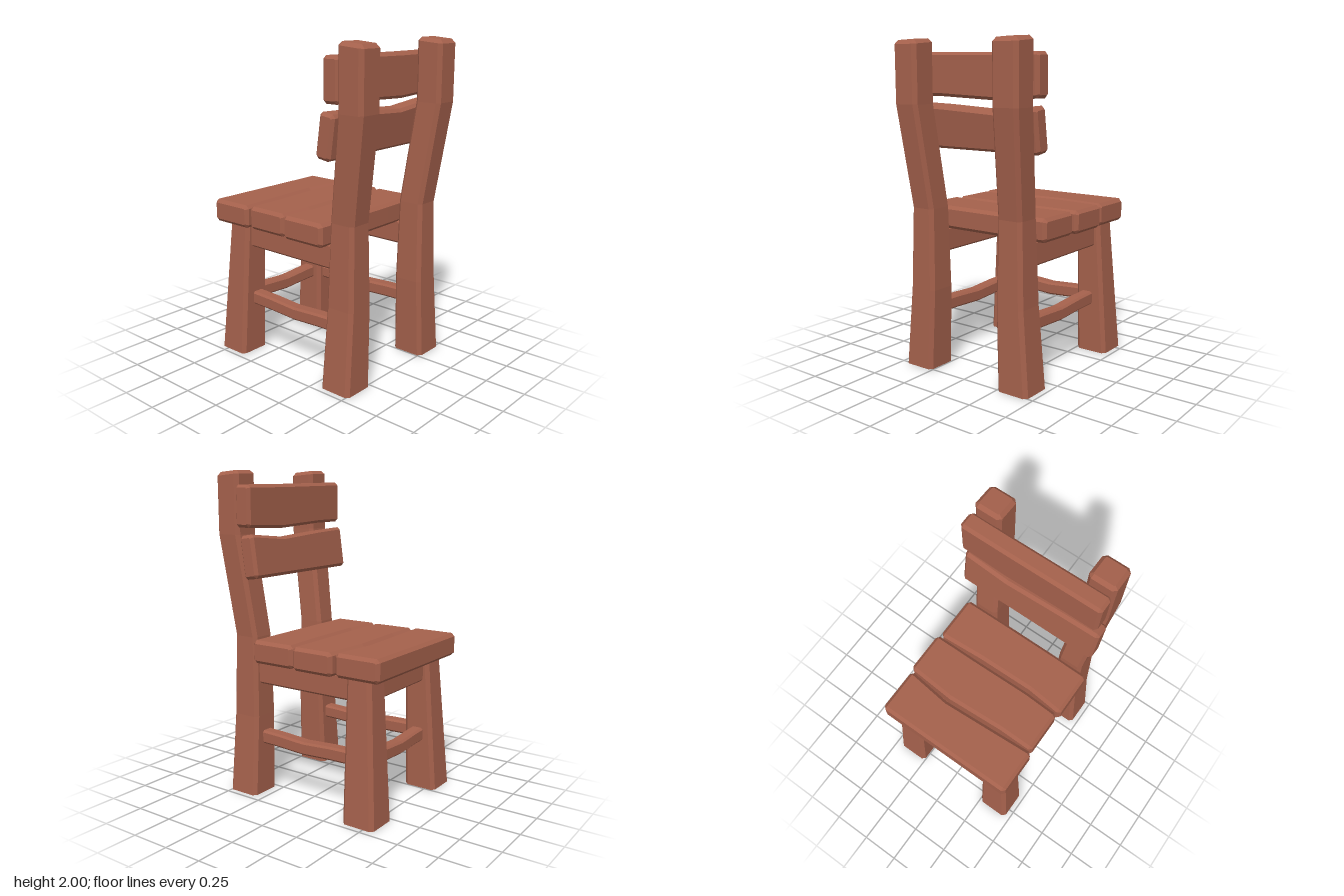
import * as THREE from 'three';

const wood = new THREE.MeshStandardMaterial({ color: 0xa5614c, flatShading: true });
wood.name = 'reddish brown wood';

// Axis order (along, a, b) as indices of x, y, z; cyclic so the winding is kept
const ORDER = { x: [0, 1, 2], y: [1, 2, 0], z: [2, 0, 1] };

// Chamfered timber lofted through sections [t, a0, a1, b0, b1] along an axis.
// c is the chamfer; startCut and endCut also chamfer the two ends.
function timber(name, axis, sections, c = 0.02, startCut = true, endCut = true) {
  const inset = ([t, a0, a1, b0, b1]) => [t, a0 + c, a1 - c, b0 + c, b1 - c];
  const secs = sections.map((s) => [...s]);
  if (startCut) {
    const cap = inset(secs[0]);
    secs[0][0] += c;
    secs.unshift(cap);
  }
  if (endCut) {
    const last = secs.length - 1;
    const cap = inset(secs[last]);
    secs[last][0] -= c;
    secs.push(cap);
  }
  const order = ORDER[axis];
  const rings = secs.map(([t, a0, a1, b0, b1], i) => {
    const isCap = (startCut && i === 0) || (endCut && i === secs.length - 1);
    const k = isCap ? c * 0.3 : c;
    return [
      [a0 + k, b0], [a1 - k, b0], [a1, b0 + k], [a1, b1 - k],
      [a1 - k, b1], [a0 + k, b1], [a0, b1 - k], [a0, b0 + k],
    ].map(([a, b]) => {
      const p = [0, 0, 0];
      p[order[0]] = t;
      p[order[1]] = a;
      p[order[2]] = b;
      return p;
    });
  });
  const pos = [];
  const tri = (p, q, r) => pos.push(...p, ...q, ...r);
  for (let i = 0; i + 1 < rings.length; i++) {
    for (let j = 0; j < 8; j++) {
      const k = (j + 1) % 8;
      tri(rings[i][j], rings[i][k], rings[i + 1][k]);
      tri(rings[i][j], rings[i + 1][k], rings[i + 1][j]);
    }
  }
  const top = rings[rings.length - 1];
  for (let j = 1; j < 7; j++) {
    tri(rings[0][0], rings[0][j + 1], rings[0][j]);
    tri(top[0], top[j], top[j + 1]);
  }
  const geo = new THREE.BufferGeometry();
  geo.setAttribute('position', new THREE.Float32BufferAttribute(pos, 3));
  geo.computeVertexNormals();
  const mesh = new THREE.Mesh(geo, wood);
  mesh.name = name;
  return mesh;
}

// Move vertices by a rule, then refresh the normals
function reshape(mesh, rule) {
  const p = mesh.geometry.attributes.position;
  const v = new THREE.Vector3();
  for (let i = 0; i < p.count; i++) {
    rule(v.fromBufferAttribute(p, i));
    p.setXYZ(i, v.x, v.y, v.z);
  }
  mesh.geometry.computeVertexNormals();
  return mesh;
}

export function createModel() {
  const chair = new THREE.Group();
  chair.name = 'chair';

  for (const side of [1, -1]) {
    const label = side > 0 ? 'left' : 'right';
    const span = (lo, hi) => (side > 0 ? [lo, hi] : [-hi, -lo]);

    // Tall bent post carrying the backrest, with a slightly sloping top
    const post = timber(label + 'BackPost', 'y', [
      [0, 0.305, 0.515, ...span(0.255, 0.465)],
      [0.5, 0.313, 0.505, ...span(0.236, 0.423)],
      [1, 0.325, 0.495, ...span(0.243, 0.408)],
      [1.62, 0.41, 0.582, ...span(0.273, 0.447)],
      [2, 0.41, 0.582, ...span(0.273, 0.447)],
    ], 0.022, false, true);
    chair.add(reshape(post, (v) => {
      if (v.y > 1.9) v.y -= (v.z - 0.41) * 0.09;
    }));

    // Tapered short leg
    chair.add(timber(label + 'ShortLeg', 'y', [
      [0, -0.565, -0.353, ...span(0.255, 0.465)],
      [0.87, -0.505, -0.342, ...span(0.243, 0.41)],
    ], 0.022, false, false));

    // Side rail under the seat and sagging stretcher below it
    chair.add(timber(label + 'SeatRail', 'z', [
      [-0.42, ...span(0.275, 0.38), 0.71, 0.86],
      [0.4, ...span(0.275, 0.38), 0.71, 0.86],
    ], 0.012));
    chair.add(timber(label + 'Stretcher', 'z', [
      [-0.42, ...span(0.29, 0.37), 0.32, 0.405],
      [-0.2, ...span(0.29, 0.37), 0.317, 0.4],
      [0, ...span(0.29, 0.37), 0.307, 0.388],
      [0.2, ...span(0.29, 0.37), 0.317, 0.4],
      [0.4, ...span(0.29, 0.37), 0.32, 0.405],
    ], 0.012));
  }

  // Cross rail and cross stretcher between the short legs
  chair.add(timber('crossRail', 'x', [
    [-0.33, 0.71, 0.86, -0.475, -0.375],
    [0.33, 0.71, 0.86, -0.475, -0.375],
  ], 0.012));
  chair.add(timber('crossStretcher', 'x', [
    [-0.33, 0.32, 0.405, -0.48, -0.4],
    [-0.18, 0.317, 0.4, -0.48, -0.4],
    [0, 0.307, 0.388, -0.48, -0.4],
    [0.18, 0.317, 0.4, -0.48, -0.4],
    [0.33, 0.32, 0.405, -0.48, -0.4],
  ], 0.012));

  // Seat planks with uneven edges: [x, z from, z to]
  const planks = [
    [[-0.465, -0.585, -0.29], [-0.22, -0.585, -0.303], [0.15, -0.585, -0.323], [0.45, -0.585, -0.29]],
    [[-0.452, -0.282, 0.003], [-0.22, -0.28, 0.012], [0.15, -0.3, 0.005], [0.465, -0.278, 0.003]],
    [[-0.465, 0.013, 0.315], [-0.22, 0.036, 0.318], [0.15, 0.03, 0.318], [0.45, 0.013, 0.315]],
  ];
  planks.forEach((plank, i) => chair.add(timber('seatPlank' + (i + 1), 'x',
    plank.map(([x, z0, z1]) => [x, 0.853, 0.995, z0, z1]))));

  // Upper back slat
  chair.add(timber('upperBackSlat', 'x', [
    [-0.44, 1.665, 1.922, 0.303, 0.415],
    [-0.22, 1.665, 1.92, 0.303, 0.415],
    [0.15, 1.65, 1.915, 0.303, 0.415],
    [0.465, 1.665, 1.915, 0.303, 0.415],
  ], 0.018));

  // Lower back slat, leaning
  const lower = timber('lowerBackSlat', 'x', [
    [-0.465, 1.36, 1.62, -0.052, 0.052],
    [-0.22, 1.36, 1.613, -0.052, 0.052],
    [0.15, 1.36, 1.592, -0.052, 0.052],
    [0.445, 1.36, 1.62, -0.052, 0.052],
  ], 0.018);
  chair.add(reshape(lower, (v) => {
    const z = v.z;
    v.z = z + 0.338 + (v.y - 1.49) * 0.14;
    v.y -= z * 0.15;
  }));

  return chair;
}
